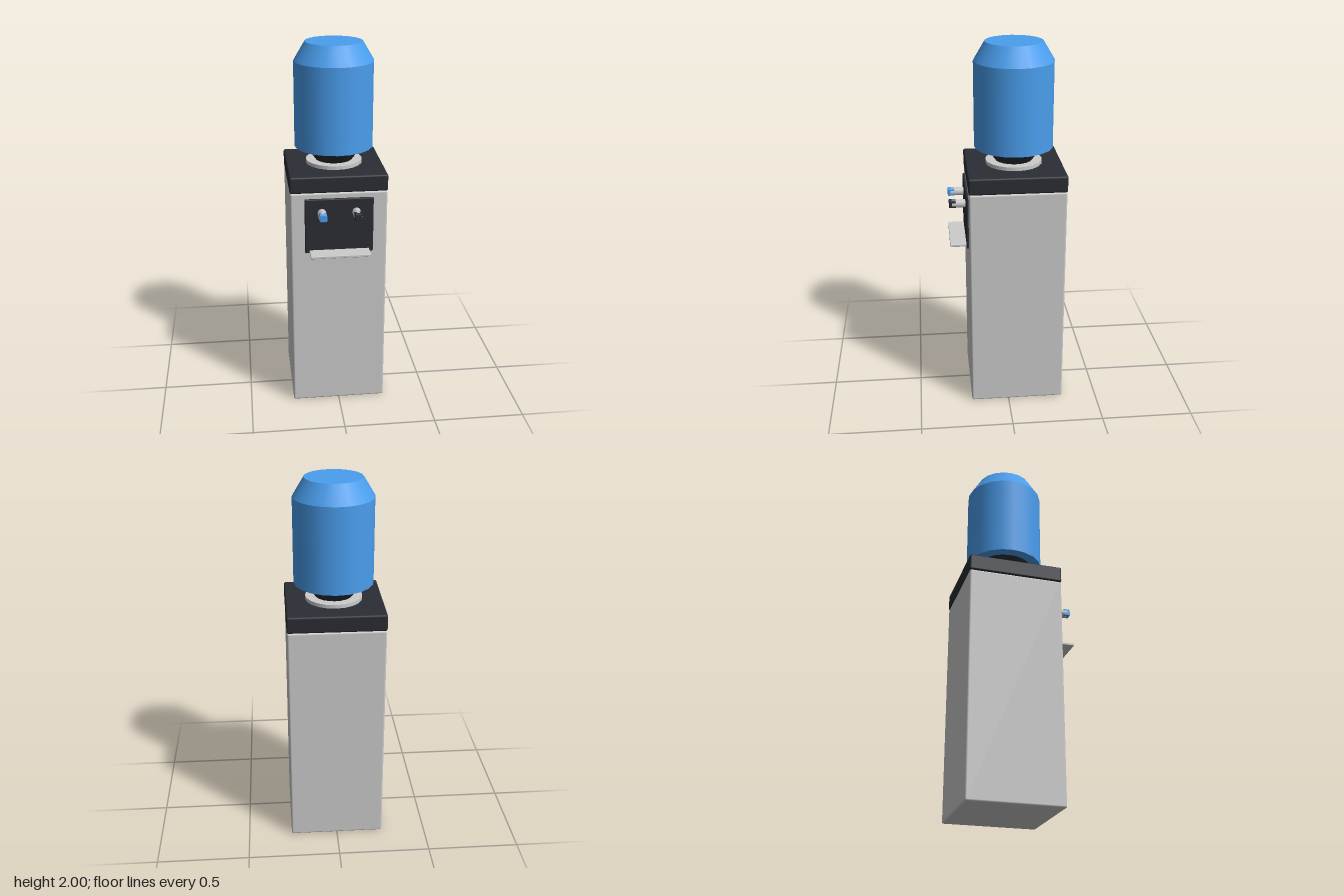
import * as THREE from 'three';
import { RoundedBoxGeometry } from 'three/addons/geometries/RoundedBoxGeometry.js';

const grey = new THREE.MeshStandardMaterial({ color: 0xcccccc });
const dark = new THREE.MeshStandardMaterial({ color: 0x2a2d34 });
const blue = new THREE.MeshStandardMaterial({ color: 0x4a9eee });

export function createModel() {
  const model = new THREE.Group();
  model.name = 'waterCooler';
  const axisZ = -0.05; // centre line of cabinet and bottle

  const add = (name, geometry, material, x, y, z, parent = model) => {
    const mesh = new THREE.Mesh(geometry, material);
    mesh.name = name;
    mesh.position.set(x, y, z);
    parent.add(mesh);
    return mesh;
  };
  const box = (w, h, d, r) => new RoundedBoxGeometry(w, h, d, 2, r);

  // Cabinet and lid
  add('cabinet', box(0.516, 1.255, 0.516, 0.01), grey, 0, 0.6275, axisZ);
  add('lid', box(0.52, 0.09, 0.52, 0.01), dark, 0, 1.3, axisZ);

  // Bottle seat and bottle, upside down on its neck
  add('collar', new THREE.CylinderGeometry(0.153, 0.153, 0.02, 20), grey, 0, 1.355, axisZ);
  add('neck', new THREE.CylinderGeometry(0.155, 0.1, 0.077, 20), dark, 0, 1.4025, axisZ);
  const bottle = new THREE.Group();
  bottle.name = 'bottle';
  model.add(bottle);
  add('bottleBody', new THREE.CylinderGeometry(0.213, 0.213, 0.46, 20), blue, 0, 1.67, axisZ, bottle);
  add('bottleShoulder', new THREE.CylinderGeometry(0.153, 0.213, 0.1, 20), blue, 0, 1.95, axisZ, bottle);

  // Dispensing panel and drip tray
  add('panel', box(0.366, 0.305, 0.02, 0.006), dark, 0, 1.0725, 0.21);
  add('dripTray', box(0.32, 0.014, 0.094, 0.003), grey, 0, 0.931, 0.261);

  // Taps: an eight-sided spout with a coloured button
  const spout = new THREE.CylinderGeometry(0.0235, 0.0235, 0.078, 8).rotateX(Math.PI / 2);
  const button = box(0.04, 0.04, 0.038, 0.005);
  for (const [name, x, color] of [['coldTap', -0.093, blue], ['hotTap', 0.091, dark]]) {
    const tap = new THREE.Group();
    tap.name = name;
    tap.position.set(x, 1.15, 0);
    add('spout', spout, grey, 0, 0, 0.254, tap);
    add('button', button, color, 0, 0, 0.289, tap);
    model.add(tap);
  }
  return model;
}
